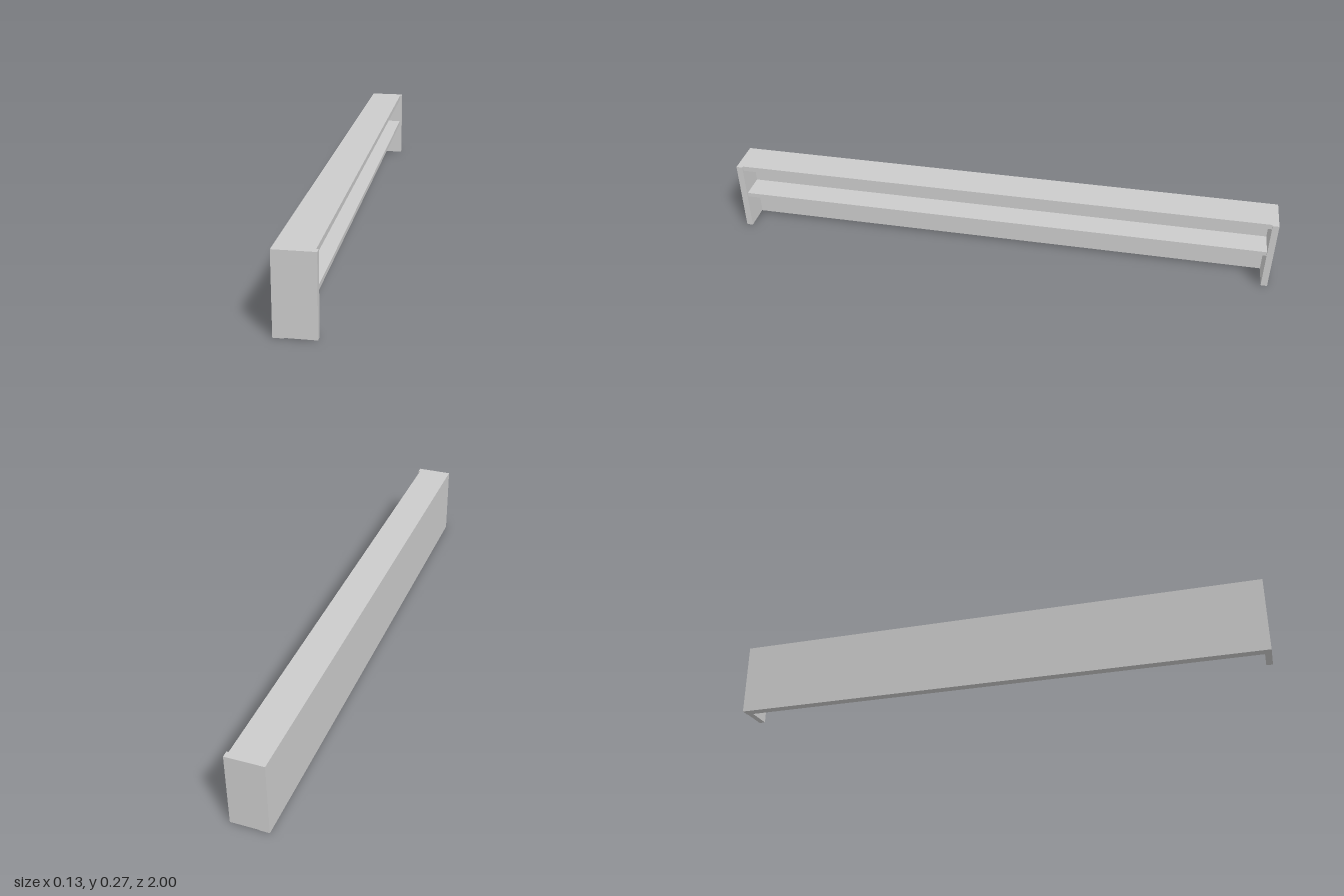
import * as THREE from 'three';

const material = new THREE.MeshStandardMaterial({ color: 0xcccccc, flatShading: true });

// Box given by its minimum and maximum corners
function board(name, [x0, y0, z0], [x1, y1, z1]) {
  const mesh = new THREE.Mesh(new THREE.BoxGeometry(x1 - x0, y1 - y0, z1 - z0), material);
  mesh.position.set((x0 + x1) / 2, (y0 + y1) / 2, (z0 + z1) / 2);
  mesh.name = name;
  return mesh;
}

export function createModel() {
  const group = new THREE.Group();
  group.name = 'wallShelf';

  const back = -0.067, inner = -0.033, lip = 0.06, front = 0.067;
  const height = 0.272, endInner = 0.977;

  // Full-length thick back board, reaching slightly below the ends
  group.add(board('backBoard', [back, 0, -1], [inner, height, 1]));

  // Top and middle shelf, set back a little from the end panels
  group.add(board('topBoard', [inner, 0.253, -endInner], [lip, height, endInner]));
  group.add(board('middleShelf', [inner, 0.134, -endInner], [lip, 0.15, endInner]));

  // End panels
  group.add(board('frontEndPanel', [inner, 0.002, endInner], [front, height, 1]));
  group.add(board('rearEndPanel', [inner, 0.002, -1], [front, height, -endInner]));

  return group;
}
